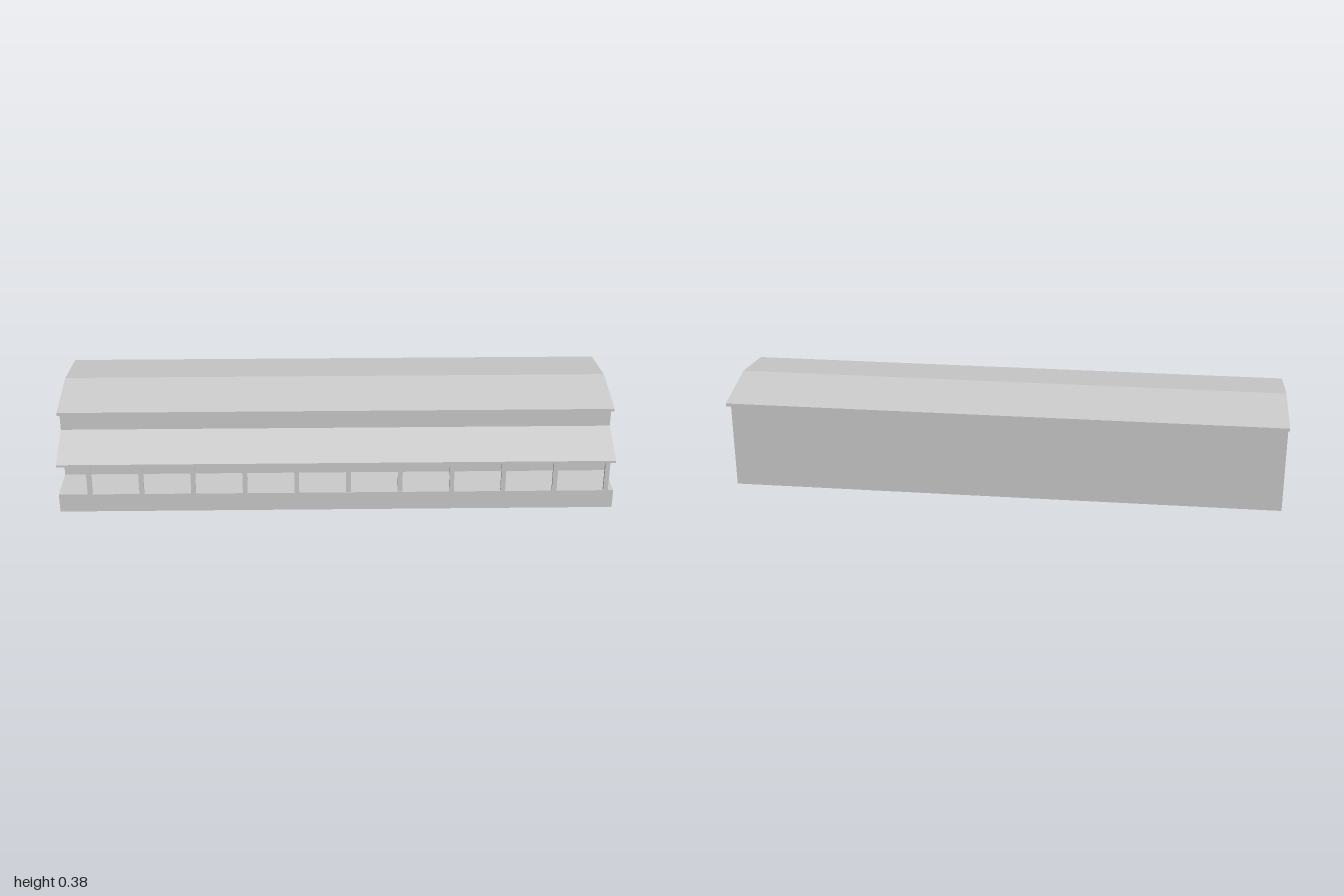
import * as THREE from 'three';

// Cross-section of the building as [z, y], from the front foot over the roof to the back foot
const PLATFORM = [[0.282, 0], [0.282, 0.07], [0.131, 0.07]];
const LOWER_WALL = [[0.131, 0.07], [0.131, 0.235]];
const PORCH_ROOF = [[0.131, 0.235], [0.282, 0.181], [0.282, 0.19], [0.131, 0.255]];
const UPPER_WALL = [[0.131, 0.255], [0.131, 0.334]];
const ROOF = [[0.131, 0.334], [0.182, 0.337], [0.182, 0.348], [-0.045, 0.381],
  [-0.281, 0.348], [-0.281, 0.337], [-0.225, 0.334]];
const BACK_WALL = [[-0.225, 0.334], [-0.225, 0]];

// Flat-faced sheet running the whole length along a piece of the cross-section
function sheet(points) {
  const positions = [];
  for (let i = 0; i < points.length - 1; i++) {
    const [z0, y0] = points[i];
    const [z1, y1] = points[i + 1];
    positions.push(-1, y0, z0, 1, y0, z0, 1, y1, z1);
    positions.push(-1, y0, z0, 1, y1, z1, -1, y1, z1);
  }
  const geometry = new THREE.BufferGeometry();
  geometry.setAttribute('position', new THREE.Float32BufferAttribute(positions, 3));
  geometry.computeVertexNormals();
  return geometry;
}

// End wall filling the whole cross-section, facing outwards at x = side
function endWall(side) {
  const outline = [PLATFORM, LOWER_WALL, PORCH_ROOF, UPPER_WALL, ROOF, BACK_WALL]
    .flatMap((part, i) => (i === 0 ? part : part.slice(1)));
  const shape = new THREE.Shape(outline.map(([z, y]) => new THREE.Vector2(-side * z, y)));
  return new THREE.ShapeGeometry(shape).rotateY(side * Math.PI / 2).translate(side, 0, 0);
}

export function createModel() {
  const grey = new THREE.MeshStandardMaterial({ color: 0xcccccc, side: THREE.DoubleSide });
  grey.name = 'light grey';

  const building = new THREE.Group();
  building.name = 'building';
  const add = (name, geometry) => {
    const mesh = new THREE.Mesh(geometry, grey);
    mesh.name = name;
    building.add(mesh);
    return mesh;
  };

  // Hollow shell, open underneath
  add('platform', sheet(PLATFORM));
  add('lowerFrontWall', sheet(LOWER_WALL));
  add('porchRoof', sheet(PORCH_ROOF));
  add('upperFrontWall', sheet(UPPER_WALL));
  add('mainRoof', sheet(ROOF));
  add('backWall', sheet(BACK_WALL));
  add('leftEndWall', endWall(1));
  add('rightEndWall', endWall(-1));

  // Row of posts carrying the porch roof
  const postGeometry = new THREE.BoxGeometry(0.017, 0.114, 0.01);
  for (let i = 0; i < 11; i++) {
    add('porchPost', postGeometry).position.set(-0.888 + i * 0.186, 0.127, 0.276);
  }

  // The long axis is turned very slightly
  building.rotation.y = 0.0055;

  const model = new THREE.Group();
  model.name = 'longHouse';
  model.add(building);
  return model;
}
